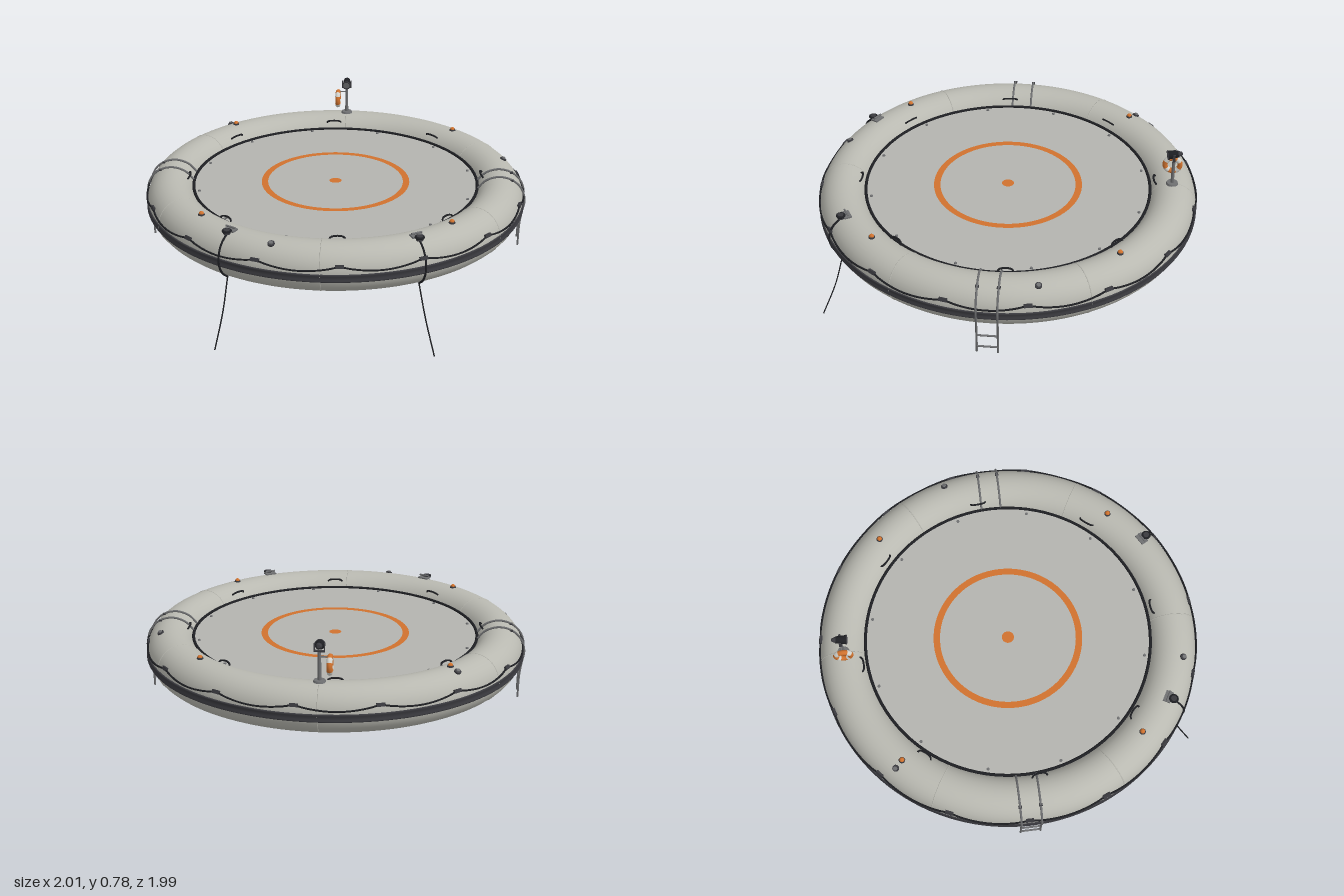
import * as THREE from 'three';

const mat = (name, color, side = THREE.FrontSide) => {
  const m = new THREE.MeshStandardMaterial({ color, side });
  m.name = name;
  return m;
};
const M = {
  tube: mat('tubeGrey', 0xb9b9b1),
  floor: mat('floorGrey', 0xb3b3af),
  dark: mat('rubberDark', 0x3a3a3f),
  black: mat('ropeBlack', 0x1e1f23),
  orange: mat('safetyOrange', 0xd0722e),
  steel: mat('steel', 0x6f7072),
  white: mat('bandWhite', 0xd4d4ce),
};

const R = 0.865, T = 0.125, CY = 0.455; // main ring radius, tube radius, height
const rad = THREE.MathUtils.degToRad;
const V = (x, y, z) => new THREE.Vector3(x, y, z);

function add(parent, name, geo, material, x = 0, y = 0, z = 0) {
  const mesh = new THREE.Mesh(geo, material);
  mesh.name = name;
  mesh.position.set(x, y, z);
  parent.add(mesh);
  return mesh;
}
// group turned so that local +z points outward at the given heading
function station(parent, name, deg) {
  const g = new THREE.Group();
  g.name = name;
  g.rotation.y = rad(deg);
  parent.add(g);
  return g;
}
// point on the tube cross-section in a station's frame
const onTube = (deg, lift = 0, x = 0) =>
  V(x, CY + (T + lift) * Math.sin(rad(deg)), R + (T + lift) * Math.cos(rad(deg)));
const pipe = (pts, r, n = 32, closed = false) =>
  new THREE.TubeGeometry(new THREE.CatmullRomCurve3(pts, closed), n, r, 6, closed);
const cyl = (r1, r2, h, n = 16) => new THREE.CylinderGeometry(r1, r2, h, n);

function buildHull(g) {
  add(g, 'inflatableRing', new THREE.TorusGeometry(R, T, 32, 128).rotateX(Math.PI / 2), M.tube, 0, CY, 0);
  for (let i = 0; i < 6; i++) {
    const s = station(g, 'tubeSeam', i * 60);
    add(s, 'seam', new THREE.TorusGeometry(T - 0.001, 0.003, 6, 48).rotateY(Math.PI / 2), M.tube, 0, CY, R);
  }
  // rubbing strake with raised lips
  const strake = [[0.975, 0.422], [0.993, 0.424], [0.996, 0.43], [0.991, 0.436],
    [0.991, 0.452], [0.996, 0.458], [0.993, 0.464], [0.975, 0.466]];
  add(g, 'rubbingStrake', new THREE.LatheGeometry(strake.map(p => new THREE.Vector2(...p)), 128), M.dark);
  add(g, 'bottomSheet', cyl(0.83, 0.83, 0.014, 96), M.dark, 0, 0.333, 0);

  // deck with painted target and edge fittings
  add(g, 'deck', cyl(0.76, 0.76, 0.02, 96), M.floor, 0, 0.505, 0);
  add(g, 'deckEdge', new THREE.TorusGeometry(0.749, 0.008, 8, 96).rotateX(Math.PI / 2), M.black, 0, 0.518, 0);
  add(g, 'targetRing', new THREE.RingGeometry(0.357, 0.391, 80).rotateX(-Math.PI / 2), M.orange, 0, 0.518, 0);
  add(g, 'targetDot', new THREE.CircleGeometry(0.032, 32).rotateX(-Math.PI / 2), M.orange, 0, 0.518, 0);
  for (let i = 0; i < 12; i++) {
    const s = station(g, 'deckFitting', 15 + i * 30);
    add(s, 'eyelet', cyl(0.007, 0.008, 0.006, 10), M.steel, 0, 0.518, 0.722);
  }
}

// lifeline looped around the outside of the ring
function buildLifeline(g) {
  const n = 15, phase = 5.5, pts = [];
  for (let i = 0; i < n * 8; i++) {
    const a = rad(phase + (i / (n * 8)) * 360);
    const y = 0.503 - 0.023 * Math.sin(Math.PI * (i % 8) / 8);
    const r = R + Math.sqrt(T * T - (y - CY) ** 2) + 0.006;
    pts.push(V(Math.sin(a) * r, y, Math.cos(a) * r));
  }
  add(g, 'lifeline', pipe(pts, 0.005, 360, true), M.black);
  for (let i = 0; i < n; i++) {
    const s = station(g, 'lifelineHolder', phase + i * 360 / n);
    const p = onTube(22, 0.004);
    add(s, 'patch', new THREE.BoxGeometry(0.042, 0.018, 0.014), M.dark, 0, p.y, p.z).rotation.x = rad(-22);
  }
}

function buildFittings(g) {
  // grab handles along the inner shoulder
  for (let i = 0; i < 8; i++) {
    const s = station(g, 'grabHandle', 5 + i * 45);
    const pts = [[-0.04, -0.002], [-0.032, 0.013], [0, 0.02], [0.032, 0.013], [0.04, -0.002]]
      .map(([x, l]) => onTube(133, l, x));
    add(s, 'strap', pipe(pts, 0.005, 20), M.black);
  }
  // marker lights
  for (let i = 0; i < 4; i++) {
    const s = station(g, 'markerLight', 45 + i * 90);
    add(s, 'lightBase', cyl(0.015, 0.017, 0.008), M.dark, 0, 0.583, 0.87);
    add(s, 'lightDome', new THREE.SphereGeometry(0.013, 16, 8, 0, Math.PI * 2, 0, Math.PI / 2), M.orange, 0, 0.586, 0.87);
  }
  // inflation valves
  for (const a of [-15, 105, 225]) {
    const s = station(g, 'valve', a);
    const p = onTube(64, 0.003);
    add(s, 'valveBase', cyl(0.017, 0.018, 0.008), M.dark, 0, p.y, p.z).rotation.x = rad(26);
    const q = onTube(64, 0.009);
    add(s, 'valveCap', cyl(0.01, 0.011, 0.01), M.steel, 0, q.y, q.z).rotation.x = rad(26);
  }
}

// boarding ladder hooked over the ring
function buildLadder(g, deg) {
  const s = station(g, 'ladder', deg);
  for (const x of [-0.052, 0.052]) {
    const arc = [150, 125, 100, 80, 60, 40, 20, 0].map(a => onTube(a, 0.008, x));
    arc.push(V(x, 0.40, 0.988), V(x, 0.33, 0.978), V(x, 0.2, 0.973));
    add(s, 'rail', pipe(arc, 0.0055, 56), M.steel);
    add(s, 'railClamp', new THREE.BoxGeometry(0.018, 0.008, 0.014), M.dark, x, 0.571, 0.927);
  }
  for (const y of [0.235, 0.305])
    add(s, 'rung', cyl(0.005, 0.005, 0.104, 8).rotateZ(Math.PI / 2), M.steel, 0, y, 0.975);
}

// mooring bitt with its line led around the tube and down
function buildMooring(g, deg, end) {
  const s = station(g, 'mooring', deg);
  add(s, 'bittPlate', new THREE.BoxGeometry(0.06, 0.008, 0.04), M.steel, 0, 0.582, 0.895);
  add(s, 'bittPost', cyl(0.015, 0.018, 0.022), M.dark, 0, 0.582, 0.925);
  add(s, 'bittHead', new THREE.TorusGeometry(0.019, 0.006, 8, 20).rotateX(Math.PI / 2), M.black, 0, 0.586, 0.925);
  add(s, 'bittBar', cyl(0.005, 0.005, 0.056, 8).rotateZ(Math.PI / 2), M.steel, 0, 0.596, 0.895);
  const wrap = [62, 40, 20, 0, -20, -40, -60].map(a => onTube(a, 0.005));
  add(s, 'mooringWrap', pipe(wrap, 0.0055, 40), M.black);
  const a = wrap[6].clone().applyAxisAngle(V(0, 1, 0), rad(deg));
  const mid = a.clone().lerp(end, 0.5).add(V(-Math.sign(end.x) * 0.006, 0, -0.012));
  add(g, 'mooringLine', pipe([a, mid, end], 0.0035, 24), M.black);
}

// post carrying a searchlight and a lifebuoy
function buildPost(g) {
  const p = new THREE.Group();
  p.name = 'lightPost';
  p.position.set(0, 0, -0.86);
  g.add(p);
  add(p, 'postBase', cyl(0.028, 0.032, 0.01, 20), M.steel, 0, 0.583, 0);
  add(p, 'post', cyl(0.008, 0.009, 0.15, 12), M.steel, 0, 0.658, 0);
  for (const x of [-0.024, 0.024])
    add(p, 'lampYoke', new THREE.BoxGeometry(0.005, 0.04, 0.012), M.dark, x, 0.752, 0);
  add(p, 'yokeFoot', new THREE.BoxGeometry(0.053, 0.006, 0.016), M.dark, 0, 0.733, 0);
  const lamp = new THREE.Group();
  lamp.name = 'searchlight';
  lamp.position.set(0, 0.762, 0);
  lamp.rotation.x = rad(12);
  p.add(lamp);
  add(lamp, 'lampBody', cyl(0.023, 0.018, 0.055, 20).rotateX(Math.PI / 2), M.black, 0, 0, 0.005);
  add(lamp, 'lampBack', cyl(0.016, 0.008, 0.02, 16).rotateX(Math.PI / 2), M.dark, 0, 0, -0.032);
  add(lamp, 'lampRim', new THREE.TorusGeometry(0.022, 0.004, 8, 24), M.dark, 0, 0, 0.033);
  add(lamp, 'lampLens', new THREE.CircleGeometry(0.02, 24), M.steel, 0, 0, 0.034);

  // lifebuoy on a short arm
  add(p, 'buoyArm', cyl(0.004, 0.004, 0.05, 8).rotateZ(Math.PI / 2), M.steel, -0.028, 0.706, 0);
  const buoy = new THREE.Group();
  buoy.name = 'lifebuoy';
  buoy.position.set(-0.05, 0.665, 0.004);
  buoy.rotation.set(0, Math.PI / 2, 0);
  p.add(buoy);
  add(buoy, 'buoyRing', new THREE.TorusGeometry(0.039, 0.0135, 12, 40), M.orange);
  for (let i = 0; i < 4; i++) {
    const band = add(buoy, 'buoyBand', new THREE.TorusGeometry(0.039, 0.0145, 12, 8, rad(32)), M.white);
    band.rotation.z = rad(29 + i * 90);
  }
}

export function createModel() {
  const g = new THREE.Group();
  g.name = 'inflatableLandingRaft';
  buildHull(g);
  buildLifeline(g);
  buildFittings(g);
  buildLadder(g, 90);
  buildLadder(g, -90);
  buildMooring(g, -30, V(-0.52, 0.003, 0.935));
  buildMooring(g, 30, V(0.55, 0.003, 0.915));
  buildPost(g);
  return g;
}
